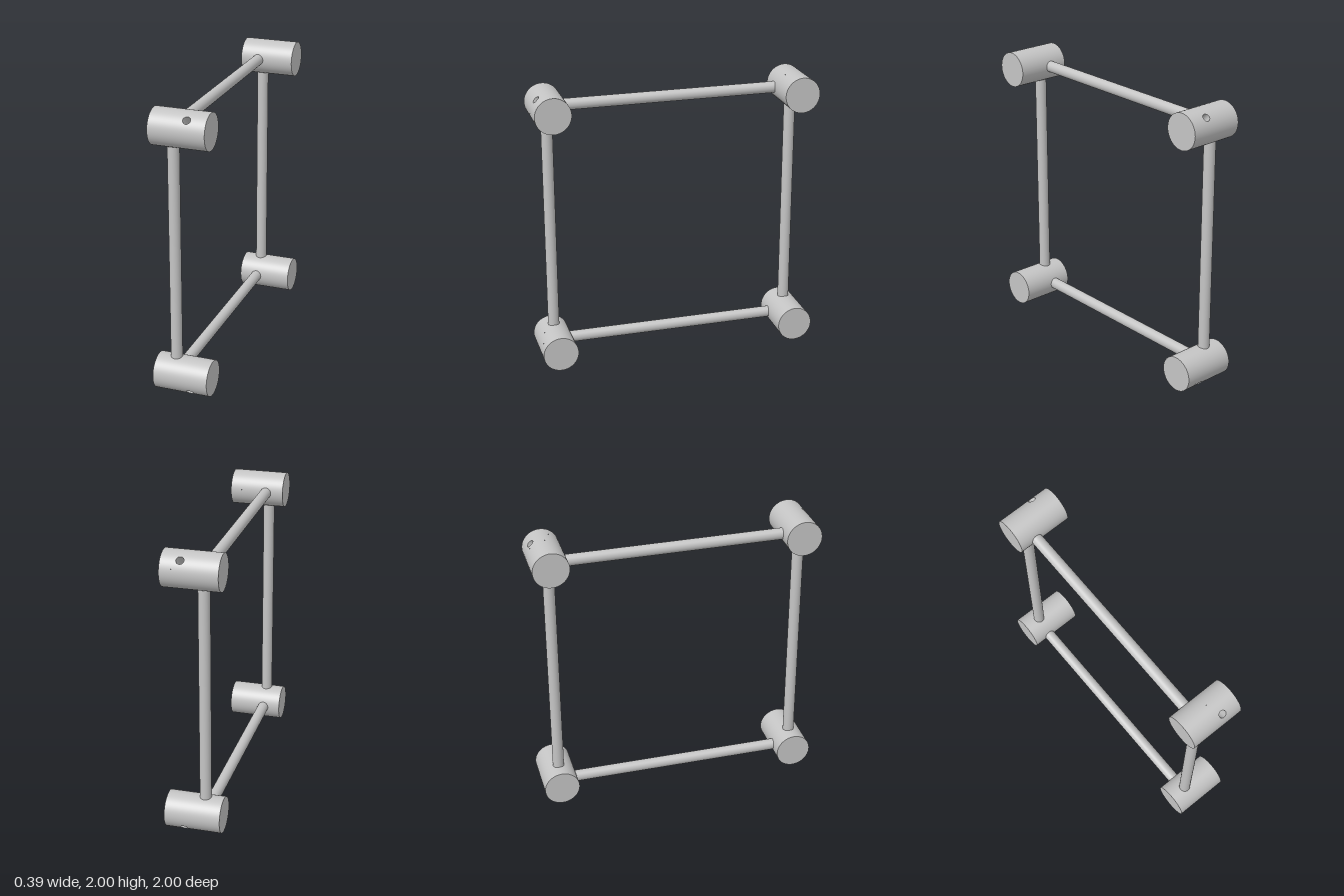
import * as THREE from 'three';
import { mergeGeometries } from 'three/addons/utils/BufferGeometryUtils.js';
import { ParametricGeometry } from 'three/addons/geometries/ParametricGeometry.js';

const R = 0.125;          // corner cylinder radius
const HALF = 0.193;       // corner cylinder half length
const OFFSET = 0.875;     // corner centre from the middle of the frame
const ROD_R = 0.04, ROD_X = -0.066;
const HOLE_R = 0.026, HOLE_X = 0.0625;
const PATCH = 0.05;       // half size of the square of skin around the hole
const TAU = Math.PI * 2;

// Piece of the cylinder skin between two angles (from +y) and two x positions
function skin(a0, a1, x0, x1, segments) {
  return new ParametricGeometry((u, v, p) => {
    const a = a0 + (a1 - a0) * u;
    p.set(x0 + (x1 - x0) * v, R * Math.cos(a), R * Math.sin(a));
  }, segments, 1);
}

// Cylinder along x with a round blind hole drilled in from +y
function drilledCylinder() {
  const edge = Math.asin(PATCH / R);
  const x0 = HOLE_X - PATCH, x1 = HOLE_X + PATCH;

  // Square of skin that blends from the hole rim to its straight edges
  const rimPatch = new ParametricGeometry((u, v, p) => {
    const t = u * TAU, c = Math.cos(t), s = Math.sin(t);
    const square = PATCH / Math.max(Math.abs(c), Math.abs(s));
    const d = HOLE_R + (square - HOLE_R) * v;
    const z = d * s;
    p.set(HOLE_X + d * c, Math.sqrt(R * R - z * z), z);
  }, 48, 6);

  // Inner wall and floor of the hole
  const floor = -0.12;
  const wall = new ParametricGeometry((u, v, p) => {
    const t = v * TAU, z = HOLE_R * Math.sin(t);
    const top = Math.sqrt(R * R - z * z);
    p.set(HOLE_X + HOLE_R * Math.cos(t), top + (floor - top) * u, z);
  }, 1, 48);
  const bottom = new THREE.CircleGeometry(HOLE_R, 48).rotateX(-Math.PI / 2).translate(HOLE_X, floor, 0);

  return mergeGeometries([
    skin(0, TAU, -HALF, x0, 64),
    skin(0, TAU, x1, HALF, 64),
    skin(edge, TAU - edge, x0, x1, 56),
    rimPatch, wall, bottom,
    new THREE.CircleGeometry(R, 64).rotateY(Math.PI / 2).translate(HALF, 0, 0),
    new THREE.CircleGeometry(R, 64).rotateY(-Math.PI / 2).translate(-HALF, 0, 0),
  ]);
}

export function createModel() {
  const group = new THREE.Group();
  const metal = new THREE.MeshStandardMaterial({ color: 0xc4c4c4 });
  metal.name = 'light grey metal';

  const add = (geometry, name, x, y, z) => {
    const mesh = new THREE.Mesh(geometry, metal);
    mesh.name = name;
    mesh.position.set(x, y, z);
    group.add(mesh);
    return mesh;
  };

  // Four corner cylinders, each hole facing diagonally outwards
  const corner = drilledCylinder();
  for (const sy of [-1, 1]) for (const sz of [-1, 1]) {
    const name = (sy > 0 ? 'top' : 'bottom') + (sz > 0 ? 'Front' : 'Back') + 'Corner';
    add(corner, name, 0, 1 + sy * OFFSET, sz * OFFSET).rotation.x = Math.atan2(sz, sy);
  }

  // Four rods joining the corners, ends sunk slightly into the cylinders
  const rod = new THREE.CylinderGeometry(ROD_R, ROD_R, 2 * (OFFSET - R + 0.01), 40);
  for (const s of [-1, 1]) {
    add(rod, s > 0 ? 'frontRod' : 'backRod', ROD_X, 1, s * OFFSET);
    add(rod, s > 0 ? 'topRod' : 'bottomRod', ROD_X, 1 + s * OFFSET, 0).rotation.x = Math.PI / 2;
  }
  return group;
}
